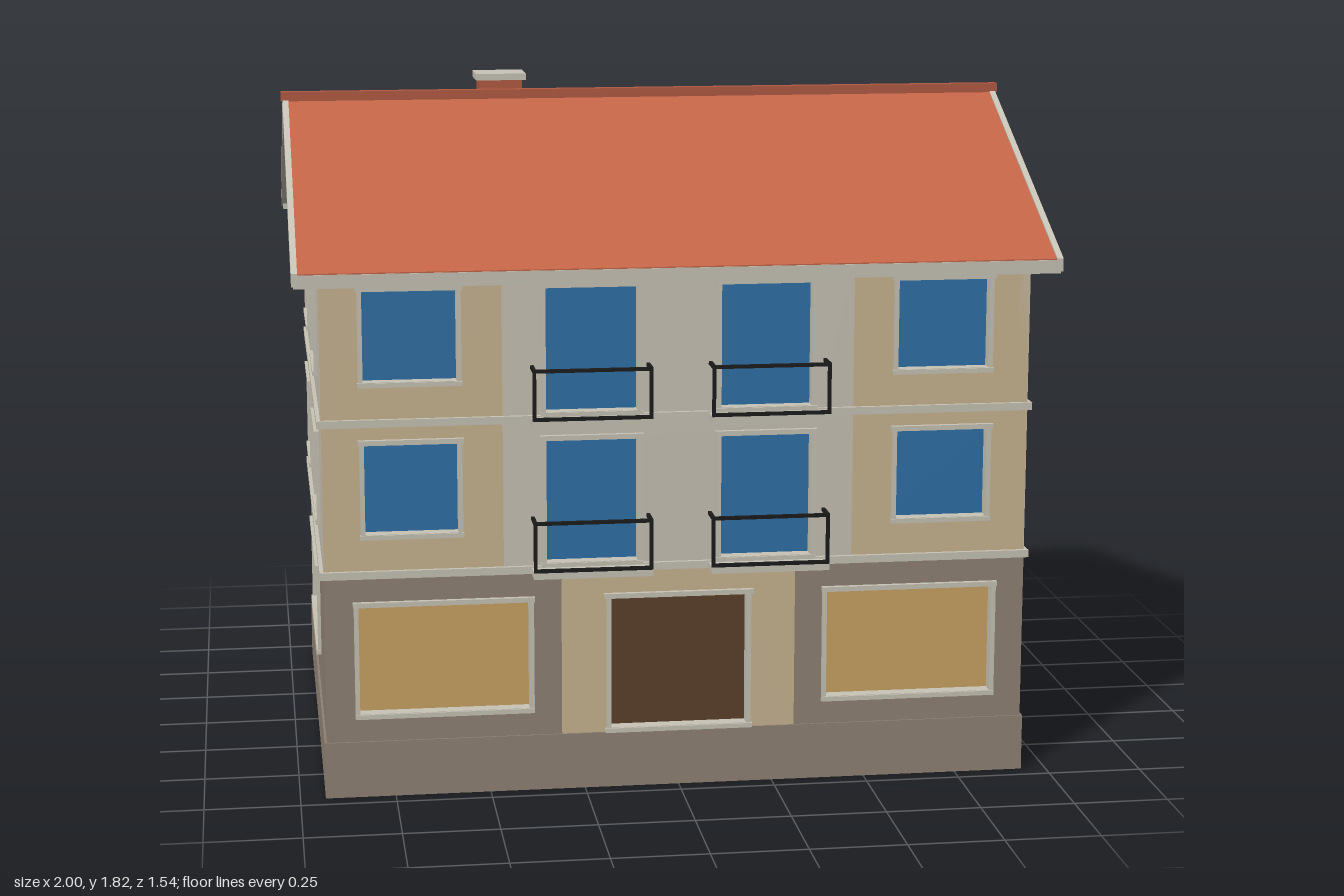
import * as THREE from 'three';

const mat = (name, color) => new THREE.MeshStandardMaterial({ name, color });

export function createModel() {
  const stone = mat('stone', 0x8f8275), plaster = mat('plaster', 0xc9c3b5), tan = mat('tan', 0xc9b592);
  const trim = mat('trim', 0xc8c4b6), glass = mat('glass', 0x2e70a6), gold = mat('shopGlass', 0xc9a464);
  const wood = mat('doorWood', 0x5c402a), tile = mat('roofTile', 0xc46546), brick = mat('brick', 0xb25a42);
  const iron = mat('iron', 0x1a1a1a);

  const HX = 0.928, HZ = 0.697, RECESS = 0.03;
  const model = new THREE.Group();
  model.name = 'house';

  const add = (parent, name, geometry, material) => {
    const mesh = new THREE.Mesh(geometry, material);
    mesh.name = name;
    parent.add(mesh);
    return mesh;
  };
  // Box given by its extents
  const box = (parent, name, m, x0, x1, y0, y1, z0, z1) => {
    const g = new THREE.BoxGeometry(x1 - x0, y1 - y0, z1 - z0);
    g.translate((x0 + x1) / 2, (y0 + y1) / 2, (z0 + z1) / 2);
    return add(parent, name, g, m);
  };
  const rect = (Type, x0, x1, y0, y1) => new Type(
    [[x0, y0], [x1, y0], [x1, y1], [x0, y1]].map(p => new THREE.Vector2(...p)));
  // Flat plate with rectangular holes, from z0 to z1
  const plate = (parent, name, m, r, holes, z0, z1) => {
    const s = rect(THREE.Shape, ...r);
    s.holes = holes.map(h => rect(THREE.Path, ...h));
    const g = new THREE.ExtrudeGeometry(s, { depth: z1 - z0, bevelEnabled: false });
    g.translate(0, 0, z0);
    return add(parent, name, g, m);
  };
  // Cross-section in z and y, extruded along x
  const prism = (name, m, points, x0, x1) => {
    const s = new THREE.Shape(points.map(p => new THREE.Vector2(...p)));
    const g = new THREE.ExtrudeGeometry(s, { depth: x1 - x0, bevelEnabled: false });
    g.rotateY(Math.PI / 2);
    g.translate(x0, 0, 0);
    return add(model, name, g, m);
  };

  // One side of the house: x runs along the wall, z = 0 is the wall face
  const facade = (name, angle, distance) => {
    const g = new THREE.Group();
    g.name = name;
    g.rotation.y = angle;
    g.position.set(Math.sin(angle) * distance, 0, Math.cos(angle) * distance);
    model.add(g);
    return g;
  };
  const wall = (parent, m, r, openings) => plate(parent, 'wallPanel', m, r,
    openings.map(([a, b, c, d]) => [a - 0.008, b + 0.008, c - 0.008, d + 0.008]), -RECESS, 0);
  // Recessed pane with a frame, lintel and sill
  const opening = (parent, name, pane, [a, b, c, d], ears = 0.016) => {
    const f = 0.012;
    box(parent, name, pane, a - 0.005, b + 0.005, c - 0.005, d + 0.005, -RECESS - 0.004, -RECESS + 0.003);
    plate(parent, name + 'Frame', trim, [a - f, b + f, c - f, d + f], [[a, b, c, d]], -RECESS, 0.009);
    box(parent, name + 'Lintel', trim, a - ears, b + ears, d + 0.001, d + 0.014, -0.005, 0.013);
    box(parent, name + 'Sill', trim, a - ears + 0.002, b + ears - 0.002, c - 0.013, c - 0.001, -0.005, 0.013);
  };

  // Core, plinth and floor bands
  box(model, 'groundCore', stone, -HX + RECESS, HX - RECESS, 0.01, 0.59, -HZ + RECESS, HZ - RECESS);
  box(model, 'upperCore', plaster, -HX + RECESS, HX - RECESS, 0.59, 1.4, -HZ + RECESS, HZ - RECESS);
  box(model, 'plinth', stone, -0.934, 0.934, 0, 0.15, -0.702, 0.702);
  for (const y of [0.59, 0.99])
    box(model, 'floorBand', trim, -0.938, 0.938, y, y + 0.02, -0.708, 0.708);

  // Front
  const front = facade('front', 0, HZ), W = HX - 0.001;
  const floors = [0.4, 0].map(d => 1 - d);
  const door = [-0.18, 0.18, 0.163, 0.515];
  wall(front, tan, [-0.31, 0.31, 0.14, 0.6], [door]);
  opening(front, 'door', wood, door, 0.018);
  const balconyDoors = [], sideDoors = { '-1': [], '1': [] };
  for (const s of [-1, 1]) {
    const span = (u, v) => (s > 0 ? [u, v] : [-v, -u]);
    const shop = [...span(0.395, 0.84), 0.226, 0.513];
    wall(front, stone, [...span(0.31, W), 0.14, 0.6], [shop]);
    opening(front, 'shopWindow', gold, shop, 0.014);
    for (const y of floors) {
      const win = [...span(0.577, 0.818), y + 0.107, y + 0.342];
      const french = [...span(0.11, 0.348), y + 0.018, y + 0.342];
      sideDoors[s].push(win);
      balconyDoors.push(french);
      opening(front, 'window', glass, win);
      opening(front, 'balconyDoor', glass, french);

      // Balcony slab and iron railing
      const [a, b] = span(0.077, 0.388), t = 0.009;
      box(front, 'balconySlab', trim, a, b, y - 0.011, y + 0.006, 0, 0.07);
      for (const h of [y + 0.006, y + 0.132])
        box(front, 'balconyRail', iron, a, b, h, h + t, 0.061, 0.07);
      for (const x of [a, b - t]) {
        box(front, 'balconyPost', iron, x, x + t, y + 0.006, y + 0.141, 0.061, 0.07);
        box(front, 'balconySideRail', iron, x, x + t, y + 0.132, y + 0.141, 0, 0.07);
      }
    }
    wall(front, tan, [...span(0.46, W), 0.59, 1.4], sideDoors[s]);
  }
  wall(front, plaster, [-0.46, 0.46, 0.59, 1.4], balconyDoors);

  // Back and both gable sides: one wide window below, two on each floor above
  const plainSide = (name, angle, distance, half, wide, inner, outer) => {
    const g = facade(name, angle, distance);
    const low = [-wide, wide, 0.287, 0.51], high = [];
    for (const y of floors)
      high.push([inner, outer, y + 0.103, y + 0.328], [-outer, -inner, y + 0.103, y + 0.328]);
    wall(g, stone, [-half, half, 0.14, 0.595], [low]);
    wall(g, plaster, [-half, half, 0.595, 1.4], high);
    [low, ...high].forEach(r => opening(g, 'window', glass, r));
  };
  plainSide('back', Math.PI, HZ, W, 0.37, 0.27, 0.655);
  plainSide('leftSide', Math.PI / 2, HX, HZ, 0.28, 0.203, 0.492);
  plainSide('rightSide', -Math.PI / 2, HX, HZ, 0.28, 0.203, 0.492);

  // Gables, roof, bargeboards and eaves
  prism('gable', plaster, [[-HZ, 1.395], [HZ, 1.395], [HZ, 1.41], [0, 1.745], [-HZ, 1.41]], -HX, HX);
  const chevron = (half, top, eave, thick) => [[0, top], [-half, eave], [-half, eave - thick],
    [0, top - thick], [half, eave - thick], [half, eave]];
  prism('roof', tile, chevron(0.762, 1.766, 1.4, 0.025), -0.98, 0.98);
  for (const s of [-1, 1]) {
    prism('bargeboard', trim, chevron(0.77, 1.77, 1.402, 0.034), s > 0 ? 0.979 : -0.995, s > 0 ? 0.995 : -0.979);
    box(model, 'gableBand', trim, s * 0.931 - 0.004, s * 0.931 + 0.004, 1.4, 1.414, -0.69, 0.69);
    box(model, 'eavesBoard', trim, -0.99, 0.99, 1.362, 1.397, s * 0.757 - 0.008, s * 0.757 + 0.008);
  }
  box(model, 'ridge', brick, -1, 1, 1.76, 1.785, -0.015, 0.015);

  // Chimney
  box(model, 'chimney', brick, -0.445, -0.325, 1.6, 1.798, -0.245, -0.14);
  box(model, 'chimneyCap', trim, -0.455, -0.315, 1.797, 1.815, -0.257, -0.129);
  return model;
}
